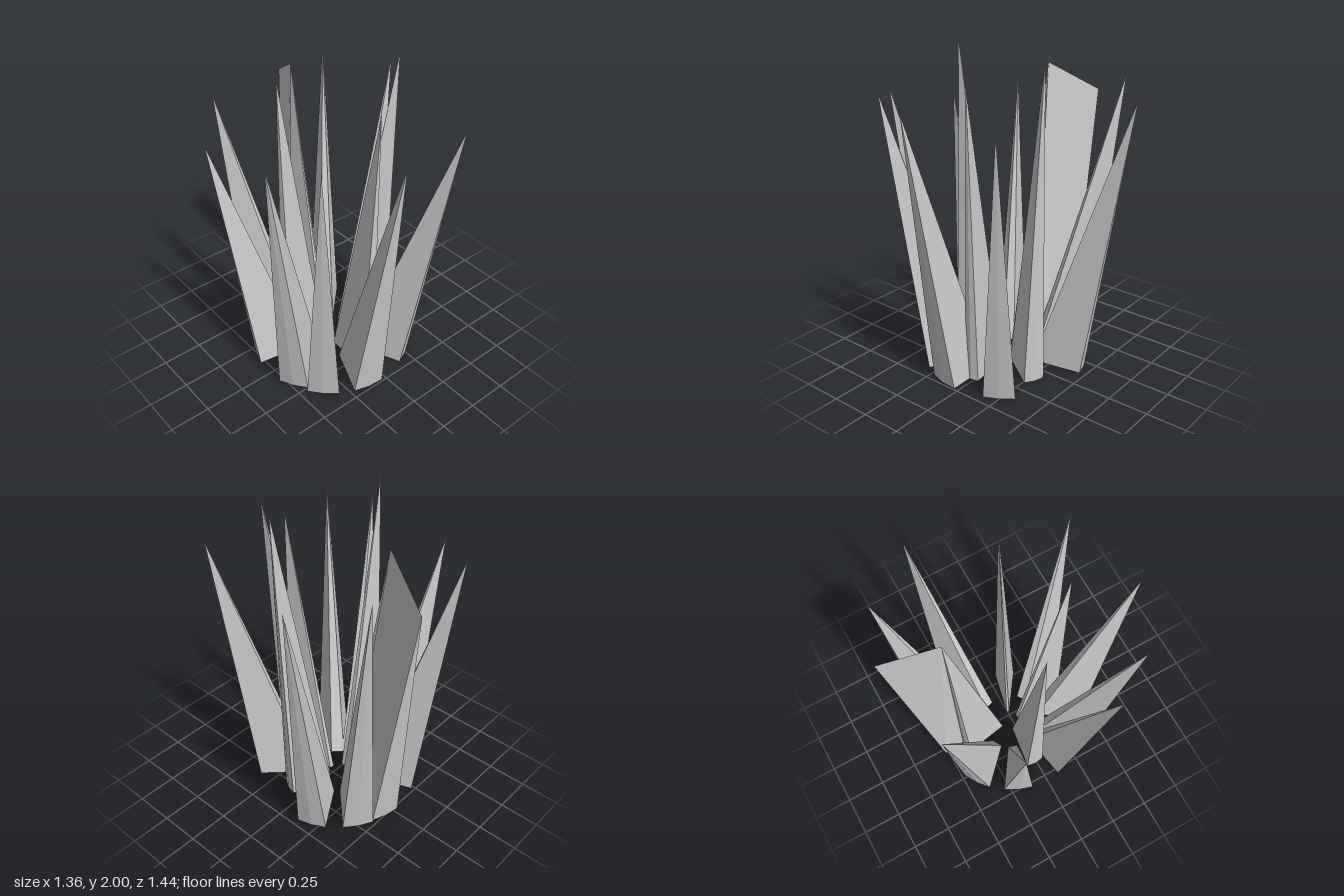
import * as THREE from 'three';

const material = new THREE.MeshStandardMaterial({
  color: 0xcccccc, flatShading: true, side: THREE.DoubleSide,
});

// One blade: a wedge-shaped foot [outer1, outer2, inner2, inner1] in x,z on the
// ground, drawn up to a tip. The inner corners may end at a second tip.
function blade(name, foot, tip, innerTip = tip) {
  const ground = foot.map(([x, z]) => new THREE.Vector3(x, 0, z));
  const [o1, o2, i2, i1] = ground;
  // slightly bulged middle of the outer edge
  const mid = o1.clone().add(o2).multiplyScalar(0.5);
  mid.setLength(mid.length() + 0.01);
  const top = new THREE.Vector3(...tip), inTop = new THREE.Vector3(...innerTip);
  const ring = [[o1, top], [mid, top], [o2, top], [i2, inTop], [i1, inTop]];
  const points = [];
  ring.forEach(([a, ta], k) => {
    const [b, tb] = ring[(k + 1) % ring.length];
    points.push(a, b, tb);
    if (!ta.equals(tb)) points.push(a, tb, ta);
  });
  const geometry = new THREE.BufferGeometry().setFromPoints(points);
  geometry.computeVertexNormals();
  const mesh = new THREE.Mesh(geometry, material);
  mesh.name = name;
  return mesh;
}

// Outer ring of splayed blades: foot corners, then tip
const outer = [
  [[[0.32, -0.37], [0.16, -0.48], [0.04, -0.2], [0.1, -0.15]], [0.4, 1.78, -0.61]],
  [[[0.46, -0.12], [0.39, -0.29], [0.12, -0.12], [0.14, -0.06]], [0.675, 1.72, -0.28]],
  [[[0.16, 0.45], [0.325, 0.35], [0.095, 0.115], [0.04, 0.15]], [0.4, 1.68, 0.61]],
  [[[-0.225, 0.455], [-0.03, 0.49], [-0.03, 0.17], [-0.1, 0.155]], [-0.145, 1.72, 0.72]],
  [[[-0.45, 0.27], [-0.31, 0.41], [-0.14, 0.14], [-0.2, 0.08]], [-0.52, 1.74, 0.52]],
  [[[-0.53, 0.09], [-0.43, 0.25], [-0.19, 0.09], [-0.22, 0.03]], [-0.68, 1.71, 0.28]],
  [[[-0.45, -0.29], [-0.53, -0.11], [-0.22, -0.06], [-0.2, -0.12]], [-0.68, 1.59, -0.28]],
  [[[-0.23, -0.48], [-0.39, -0.37], [-0.17, -0.155], [-0.11, -0.19]], [-0.41, 1.68, -0.61]],
];

// Inner ring of taller, narrower blades
const inner = [
  [[[0, -0.38], [-0.1, -0.36], [-0.05, -0.08], [-0.025, -0.08]], [-0.01, 1.83, -0.39]],
  [[[0.26, 0.18], [0.315, 0.06], [0.03, -0.005], [0.02, 0.01]], [0.345, 1.985, 0.13]],
  [[[-0.07, 0.34], [0.03, 0.34], [-0.02, 0.04], [-0.05, 0.04]], [0, 1.81, 0.37]],
  [[[-0.385, -0.07], [-0.385, 0.05], [-0.1, 0.01], [-0.1, -0.03]], [-0.385, 2, -0.01]],
];

export function createModel() {
  const model = new THREE.Group();
  model.name = 'grassTuft';
  outer.forEach(([foot, tip], i) => model.add(blade(`outerBlade${i + 1}`, foot, tip)));
  inner.forEach(([foot, tip], i) => model.add(blade(`innerBlade${i + 1}`, foot, tip)));
  // Broad rear blade with a sloping top edge that meets the rear inner tip
  model.add(blade('broadRearBlade',
    [[0.15, -0.47], [-0.03, -0.52], [0, -0.2], [0.06, -0.19]],
    [0.14, 1.63, -0.72], [-0.01, 1.83, -0.39]));
  return model;
}
